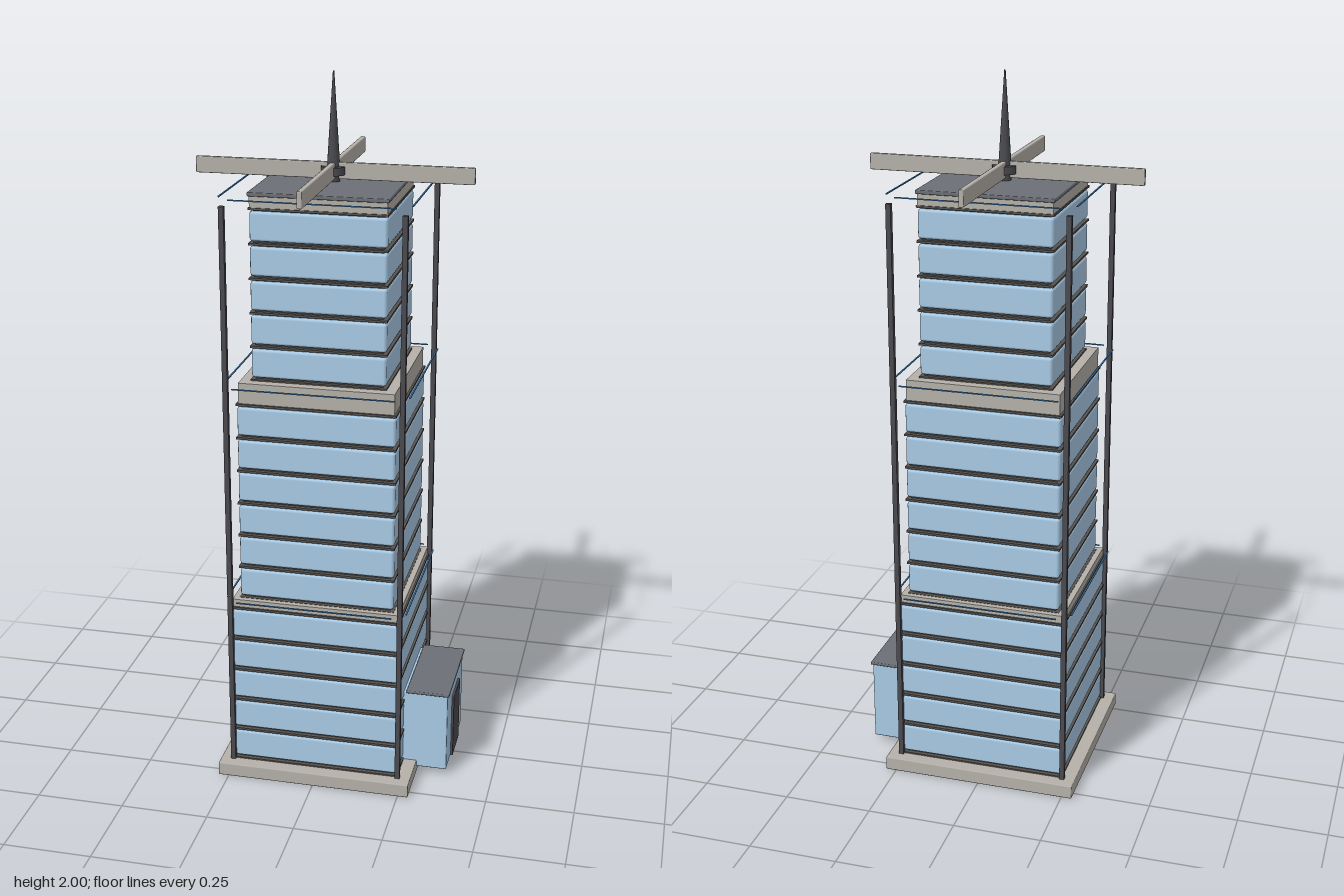
import * as THREE from 'three';
import { RoundedBoxGeometry } from 'three/addons/geometries/RoundedBoxGeometry.js';

const paint = (color) => new THREE.MeshStandardMaterial({ color });

export function createModel() {
  const model = new THREE.Group();
  const glass = paint(0xa9cbe6), slab = paint(0x55524f), stone = paint(0xb5b1aa);
  const roofGrey = paint(0x6c7076), dark = paint(0x4a4a50), trim = paint(0x3f7fb8);

  function add(parent, name, geometry, material, x = 0, y = 0, z = 0) {
    const mesh = new THREE.Mesh(geometry, material);
    mesh.name = name;
    mesh.position.set(x, y, z);
    parent.add(mesh);
    return mesh;
  }
  // Box given by its bottom and top heights
  const block = (parent, name, w, y0, y1, d, material, x = 0, z = 0) =>
    add(parent, name, new THREE.BoxGeometry(w, y1 - y0, d), material, x, (y0 + y1) / 2, z);
  // Softly rounded block
  const softBlock = (parent, name, w, y0, y1, d, r, material, x = 0, z = 0) =>
    add(parent, name, new RoundedBoxGeometry(w, y1 - y0, d, 1, r), material, x, (y0 + y1) / 2, z);

  softBlock(model, 'basePlate', 0.56, 0, 0.04, 0.56, 0.003, stone);

  // Three stepped tiers: glazed floors separated by thin dark slabs
  const tiers = [
    { name: 'lowerTier', half: 0.24, y: 0.048, floors: 5, pitch: 0.097, capHalf: 0.238, cap: [0.53, 0.552] },
    { name: 'middleTier', half: 0.22, y: 0.557, floors: 6, pitch: 0.0965, capHalf: 0.216, cap: [1.123, 1.19] },
    { name: 'upperTier', half: 0.186, y: 1.198, floors: 5, pitch: 0.0945, capHalf: 0.185, cap: [1.665, 1.697] },
  ];
  for (const t of tiers) {
    const tier = new THREE.Group();
    tier.name = t.name;
    model.add(tier);
    const w = t.half * 2, top = t.y + t.floors * t.pitch;
    block(tier, 'core', w - 0.02, t.y - 0.008, top, w - 0.02, slab);
    for (let i = 0; i < t.floors; i++) {
      const y = t.y + i * t.pitch;
      softBlock(tier, 'glassFloor', w, y, y + t.pitch - 0.014, w, 0.008, glass);
    }
    for (let i = 0; i <= t.floors; i++) {
      const y = t.y + i * t.pitch - 0.007;
      block(tier, 'floorSlab', w + 0.004, y - 0.003, y + 0.003, w + 0.004, slab);
    }
    block(tier, 'cap', t.capHalf * 2, t.cap[0], t.cap[1], t.capHalf * 2, stone);
  }
  softBlock(model, 'roof', 0.38, 1.697, 1.708, 0.38, 0.003, roofGrey);

  // Corner columns
  for (const x of [-0.243, 0.243])
    for (const z of [-0.243, 0.243])
      block(model, 'cornerColumn', 0.014, 0.04, 1.68, 0.014, dark, x, z);

  // Thin trim strips around the set-backs
  for (const y of [0.55, 1.185, 1.7])
    for (const s of [-0.257, 0.257]) {
      block(model, 'trimStrip', 0.444, y - 0.0015, y + 0.0015, 0.004, trim, 0, s);
      block(model, 'trimStrip', 0.004, y - 0.0015, y + 0.0015, 0.444, trim, s, 0);
    }

  // Rooftop cross of four beams
  for (let i = 0; i < 4; i++) {
    const arm = new THREE.Group();
    arm.name = 'roofBeam';
    arm.rotation.y = i * Math.PI / 2;
    softBlock(arm, 'beam', 0.375, 1.715, 1.76, 0.014, 0.003, stone, 0.196);
    model.add(arm);
  }

  // Spire on its hub
  add(model, 'spirePost', new THREE.CylinderGeometry(0.018, 0.018, 0.04, 12), dark, 0, 1.728, 0);
  add(model, 'spireHub', new THREE.CylinderGeometry(0.034, 0.034, 0.022, 24), dark, 0, 1.738, 0);
  add(model, 'spire', new THREE.CylinderGeometry(0.002, 0.018, 0.252, 12), dark, 0, 1.874, 0);

  // Entrance annex on the left side
  const annex = new THREE.Group();
  annex.name = 'entrance';
  model.add(annex);
  softBlock(annex, 'entranceHall', 0.135, 0.02, 0.262, 0.28, 0.004, glass, 0.3);
  softBlock(annex, 'entranceRoof', 0.125, 0.26, 0.269, 0.292, 0.003, roofGrey, 0.31);
  softBlock(annex, 'door', 0.012, 0.018, 0.217, 0.114, 0.003, dark, 0.368);

  return model;
}
